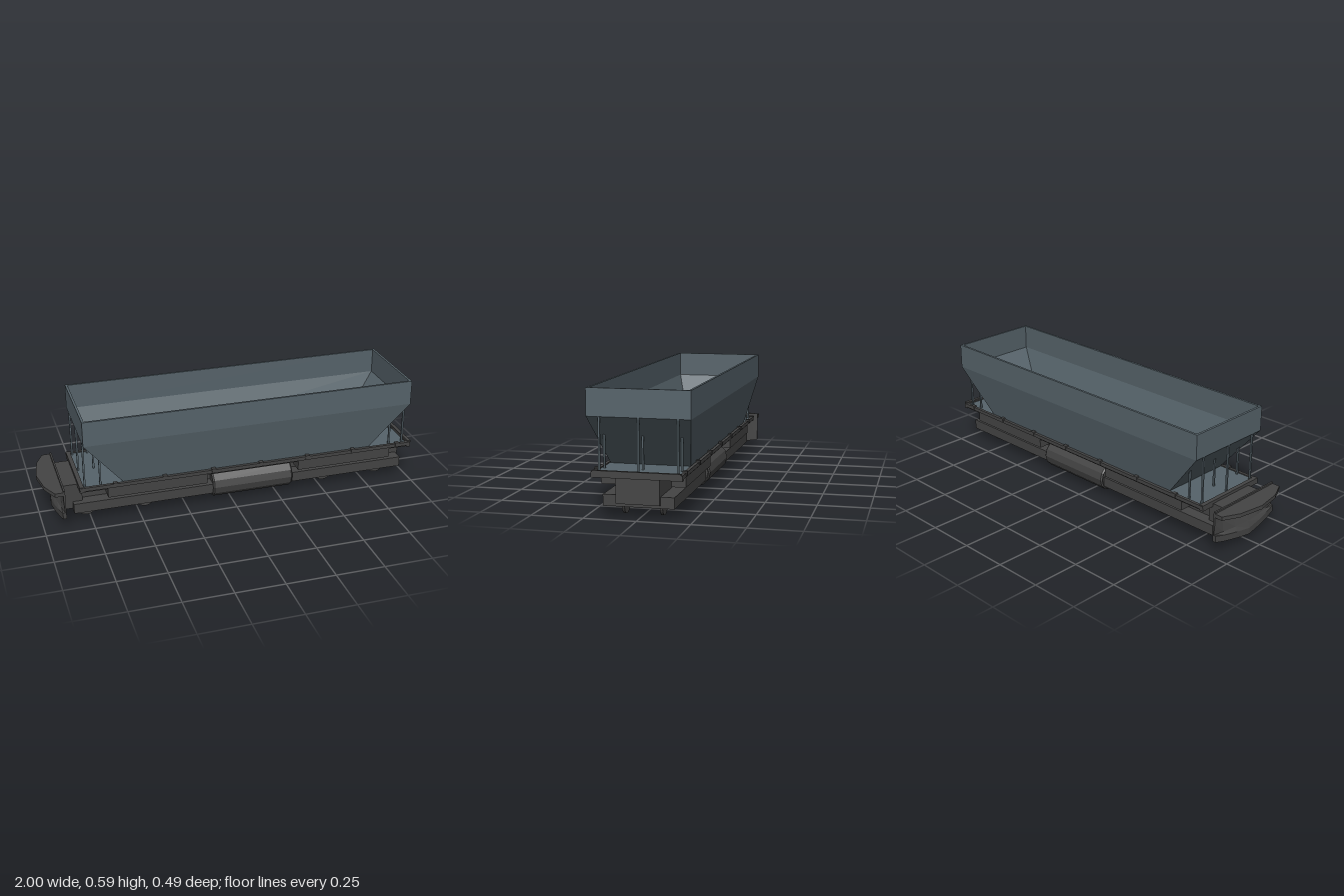
import * as THREE from 'three';

const slate = new THREE.MeshStandardMaterial({ color: 0x56636a, flatShading: true });
const dark = new THREE.MeshStandardMaterial({ color: 0x444444, flatShading: true });

// Skin a list of closed cross-sections and cap both ends
function loft(rings) {
  const pos = [];
  const tri = (a, b, c) => pos.push(...a, ...b, ...c);
  const n = rings[0].length;
  for (let r = 0; r < rings.length - 1; r++) {
    const a = rings[r], b = rings[r + 1];
    for (let i = 0; i < n; i++) {
      const j = (i + 1) % n;
      tri(a[i], a[j], b[j]);
      tri(a[i], b[j], b[i]);
    }
  }
  const first = rings[0], last = rings[rings.length - 1];
  for (let i = 1; i < n - 1; i++) {
    tri(first[0], first[i + 1], first[i]);
    tri(last[0], last[i], last[i + 1]);
  }
  const g = new THREE.BufferGeometry();
  g.setAttribute('position', new THREE.Float32BufferAttribute(pos, 3));
  g.computeVertexNormals();
  return g;
}

export function createModel() {
  const model = new THREE.Group();

  const add = (name, geometry, material, x = 0, y = 0, z = 0) => {
    const mesh = new THREE.Mesh(geometry, material);
    mesh.name = name;
    mesh.position.set(x, y, z);
    model.add(mesh);
    return mesh;
  };
  // Box given by its limits on each axis
  const box = (name, material, x0, x1, y0, y1, z0, z1) =>
    add(name, new THREE.BoxGeometry(x1 - x0, y1 - y0, z1 - z0), material,
      (x0 + x1) / 2, (y0 + y1) / 2, (z0 + z1) / 2);

  // Open hopper: up the outside, over the rim and down to the inner floor
  const level = (x0, x1, z, y) => [[x0, y, z], [x1, y, z], [x1, y, -z], [x0, y, -z]];
  add('hopper', loft([
    level(-0.585, 0.755, 0.193, 0.212),
    level(-0.787, 0.961, 0.243, 0.461),
    level(-0.787, 0.961, 0.243, 0.591),
    level(-0.775, 0.949, 0.231, 0.591),
    level(-0.775, 0.949, 0.231, 0.461),
    level(-0.585, 0.76, 0.143, 0.228),
  ]), slate);

  // Posts under the sloping hopper ends
  for (const [x, top] of [[-0.782, 0.463], [-0.702, 0.37], [0.88, 0.37], [0.956, 0.463]])
    for (const z of [-0.183, 0, 0.183])
      box('hopperPost', slate, x - 0.0045, x + 0.0045, 0.2, top, z - 0.0045, z + 0.0045);

  // Deck with its side rails and end beams
  box('deck', slate, -0.8, 0.98, 0.2, 0.212, -0.2, 0.2);
  box('deckUnderside', dark, -0.8, 0.975, 0.19, 0.201, -0.205, 0.205);
  box('leftEndBeam', dark, -0.812, -0.79, 0.19, 0.22, -0.21, 0.21);
  box('rightEndBeam', dark, 0.975, 0.995, 0.19, 0.216, -0.213, 0.213);
  box('rightEndRail', dark, 0.982, 1, 0.2, 0.223, -0.206, 0.206);
  for (const s of [-1, 1]) {
    box('sideRail', dark, -0.81, 0.985, 0.198, 0.217, s * 0.205 - 0.008, s * 0.205 + 0.008);
    for (let i = 0; i < 7; i++) {
      const x = -0.63 + i * 0.258;
      box('railClip', dark, x - 0.011, x + 0.011, 0.205, 0.224, s * 0.207 - 0.01, s * 0.207 + 0.01);
    }
  }

  // Underframe
  box('lowerFrame', dark, -0.84, 0.962, 0.055, 0.108, -0.167, 0.167);
  box('centreBeam', dark, -0.81, 0.976, 0.07, 0.195, -0.103, 0.103);
  box('leftConnector', dark, -0.89, -0.79, 0.07, 0.205, -0.135, 0.135);

  for (const s of [-1, 1]) {
    // Equipment boxes hung beneath the deck
    for (const [x0, x1] of [[-0.668, -0.146], [0.355, 0.88]])
      box('equipmentBox', dark, x0, x1, 0.138, 0.195, s * 0.166 - 0.034, s * 0.166 + 0.034);

    // Twelve-sided side tank with bevelled ends
    const profile = [[0, -0.215], [0.062, -0.215], [0.067, -0.22], [0.074, -0.212],
      [0.074, 0.212], [0.067, 0.22], [0.062, 0.215], [0, 0.215]];
    const tank = new THREE.LatheGeometry(profile.map(p => new THREE.Vector2(...p)), 12);
    tank.rotateZ(Math.PI / 2);
    add('sideTank', tank, dark, 0.11, 0.097, s * 0.118);

    // Wheels, mostly sunk into the frame
    for (const x of [-0.765, -0.455, 0.54, 0.852]) {
      const wheel = new THREE.CylinderGeometry(0.05, 0.05, 0.013, 20);
      wheel.rotateX(Math.PI / 2);
      add('wheel', wheel, dark, x, 0.05, s * 0.09);
    }
  }

  // Curved skirt at the left end, deepest in the middle
  const stations = [[-0.222, 0.064, -0.905], [-0.165, 0.053, -0.915], [-0.085, 0.043, -0.927],
    [0, 0.033, -0.934], [0.085, 0.043, -0.927], [0.165, 0.053, -0.915], [0.222, 0.064, -0.905]];
  add('endSkirt', loft(stations.map(([z, low, lip]) => [
    [-0.887, low, z], [-0.887, 0.222, z], [-0.896, 0.222, z],
    [-0.897, 0.16, z], [lip + 0.012, 0.1, z], [lip, low + 0.034, z], [lip, low, z],
  ])), dark);

  // Flat nose plate over the skirt
  const nose = new THREE.Shape([[-0.888, -0.222], [-0.888, 0.222], [-0.937, 0.222], [-0.978, 0.135],
    [-1, 0], [-0.978, -0.135], [-0.937, -0.222]].map(p => new THREE.Vector2(...p)));
  const plate = new THREE.ExtrudeGeometry(nose, { depth: 0.02, bevelEnabled: false });
  plate.rotateX(Math.PI / 2);
  add('nosePlate', plate, dark, 0, 0.214, 0);

  return model;
}
